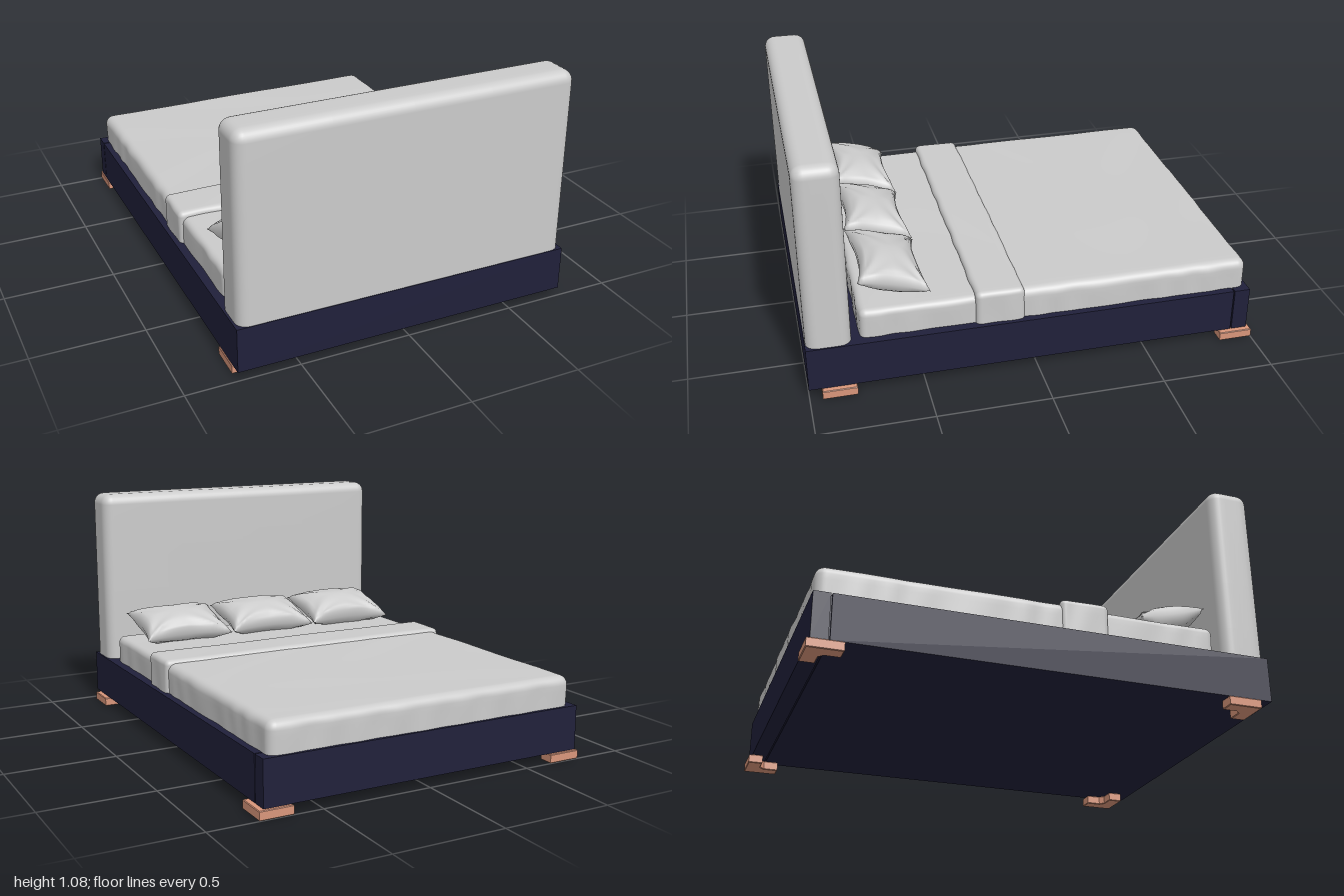
import * as THREE from 'three';
import { mergeVertices } from 'three/addons/utils/BufferGeometryUtils.js';

const linen = new THREE.MeshStandardMaterial({ color: 0xcbcbcb });
linen.name = 'linenGrey';
const navy = new THREE.MeshStandardMaterial({ color: 0x20203a });
navy.name = 'navyFrame';
const copper = new THREE.MeshStandardMaterial({ color: 0xd9967b });
copper.name = 'copperFeet';

const CX = -0.01; // middle line of the bed

function add(parent, name, geometry, material) {
  const mesh = new THREE.Mesh(geometry, material);
  mesh.name = name;
  parent.add(mesh);
  return mesh;
}

function smooth(geometry) {
  geometry.deleteAttribute('uv');
  geometry.deleteAttribute('normal');
  const merged = mergeVertices(geometry, 1e-5);
  merged.computeVertexNormals();
  return merged;
}

// Rounded box from min to max corner, finely divided so that cloth can crease
function softBox(min, max, radius, segments, crease = () => 0) {
  const geo = new THREE.BoxGeometry(1, 1, 1, ...segments);
  const pos = geo.attributes.position;
  const ends = 4; // cells spent on each rounded edge
  const p = new THREE.Vector3(), inner = new THREE.Vector3();
  const lo = new THREE.Vector3(...min), hi = new THREE.Vector3(...max);
  const innerLo = lo.clone().addScalar(radius), innerHi = hi.clone().subScalar(radius);
  for (let i = 0; i < pos.count; i++) {
    p.fromBufferAttribute(pos, i);
    ['x', 'y', 'z'].forEach((axis, a) => {
      const n = segments[a], k = Math.round((p[axis] + 0.5) * n);
      if (k <= ends) p[axis] = lo[axis] + radius * k / ends;
      else if (k >= n - ends) p[axis] = hi[axis] - radius * (n - k) / ends;
      else p[axis] = THREE.MathUtils.lerp(innerLo[axis], innerHi[axis], (k - ends) / (n - 2 * ends));
    });
    inner.copy(p).clamp(innerLo, innerHi);
    const normal = p.sub(inner).normalize();
    const out = radius + crease(inner.x, inner.y, inner.z, normal);
    inner.addScaledVector(normal, out);
    pos.setXYZ(i, inner.x, inner.y, inner.z);
  }
  return smooth(geo);
}

// Soft folds: broad on the top, finer and vertical on the hanging sides
function folds(x, y, z, n) {
  const top = 0.0015 * Math.sin(7 * x + 3 * Math.sin(4 * z)) * Math.sin(5 * z + 2 * x);
  const side = 0.003 * Math.sin(31 * (x + z) + 2 * Math.sin(9 * z)) * Math.sin(8 * x - 6 * z + 12 * y);
  return n.y > 0.9 ? top : top + side * (1 - Math.abs(n.y));
}

// Pillow with pinched corners, bulging on both sides of its seam
function pillowGeometry(seed) {
  const n = 28;
  const geo = new THREE.BoxGeometry(2, 2, 2, n, 1, n);
  const pos = geo.attributes.position;
  for (let i = 0; i < pos.count; i++) {
    const u = pos.getX(i), v = pos.getZ(i), s = Math.sign(pos.getY(i));
    const eu = 1 - u * u, ev = 1 - v * v;
    const bulge = Math.pow(Math.max(eu * ev, 0), 0.42);
    // Creases fan out from the corners
    const fan = Math.atan2(1.08 - Math.abs(u), 1.08 - Math.abs(v));
    const edge = Math.min(1, 6 * eu * ev) * (1 - 0.8 * eu * ev);
    const crease = 0.006 * edge * Math.sin(fan * 11 + seed + 2 * u);
    const x = 0.224 * u * (1 - 0.1 * ev);
    const z = 0.16 * v * (1 - 0.2 * eu);
    pos.setXYZ(i, x, s * (0.078 * bulge + crease), z);
  }
  return smooth(geo);
}

// L-shaped foot with its outer corner at the origin, arms along -x and -z
function footGeometry() {
  const L = 0.15, w = 0.065;
  const shape = new THREE.Shape();
  [[0, 0], [-L, 0], [-L, w], [-w - 0.02, w], [-w, w + 0.02], [-w, L], [0, L]]
    .reverse()
    .forEach(([x, y], i) => (i ? shape.lineTo(x, y) : shape.moveTo(x, y)));
  const geo = new THREE.ExtrudeGeometry(shape, {
    depth: 0.034, bevelEnabled: true, bevelThickness: 0.003, bevelSize: 0.003, bevelOffset: -0.003, bevelSegments: 1,
  });
  return geo.rotateX(-Math.PI / 2).translate(0, 0.003, 0);
}

export function createModel() {
  const bed = new THREE.Group();
  bed.name = 'bed';

  // Frame: main box and foot panel, with a narrow seam between them
  const frame = new THREE.Group();
  frame.name = 'frame';
  bed.add(frame);
  const panel = (name, width, y0, y1, z0, z1) =>
    add(frame, name, new THREE.BoxGeometry(width, y1 - y0, z1 - z0), navy)
      .position.set(CX, (y0 + y1) / 2, (z0 + z1) / 2);
  panel('frameBox', 1.53, 0.04, 0.24, -0.908, 1);
  panel('footPanel', 1.53, 0.04, 0.24, -0.985, -0.914);
  panel('seamFill', 1.51, 0.045, 0.23, -0.93, -0.9);

  // Feet at the four corners, turned so that each corner points outwards
  const feet = new THREE.Group();
  feet.name = 'feet';
  bed.add(feet);
  const foot = footGeometry();
  const corners = [
    ['frontLeftFoot', 0.78, 0.945, 0], ['backLeftFoot', 0.78, -1, Math.PI / 2],
    ['backRightFoot', -0.78, -1, Math.PI], ['frontRightFoot', -0.78, 0.945, -Math.PI / 2],
  ];
  for (const [name, x, z, turn] of corners) {
    const mesh = add(feet, name, foot, copper);
    mesh.position.set(x, 0, z);
    mesh.rotation.y = turn;
  }

  // Upholstered headboard
  add(bed, 'headboard', softBox([-0.765, 0.1, 0.803], [0.748, 1.075, 0.997], 0.05, [12, 12, 12]), linen);

  // Bedding
  add(bed, 'mattress', softBox([-0.737, 0.16, -0.9], [0.715, 0.367, 0.765], 0.03, [60, 14, 60], folds), linen);
  add(bed, 'duvet', softBox([-0.745, 0.16, -0.972], [0.724, 0.376, 0.12], 0.04, [60, 14, 50], folds), linen);
  add(bed, 'foldedBlanket', softBox([-0.754, 0.16, 0.052], [0.734, 0.391, 0.268], 0.025, [60, 14, 20], folds), linen);

  // Pillows leaning back towards the headboard
  ['rightPillow', 'middlePillow', 'leftPillow'].forEach((name, i) => {
    const pillow = add(bed, name, pillowGeometry(i * 1.7), linen);
    pillow.position.set(-0.47 + i * 0.456, 0.438, 0.605);
    pillow.rotation.x = -0.27;
  });

  return bed;
}
